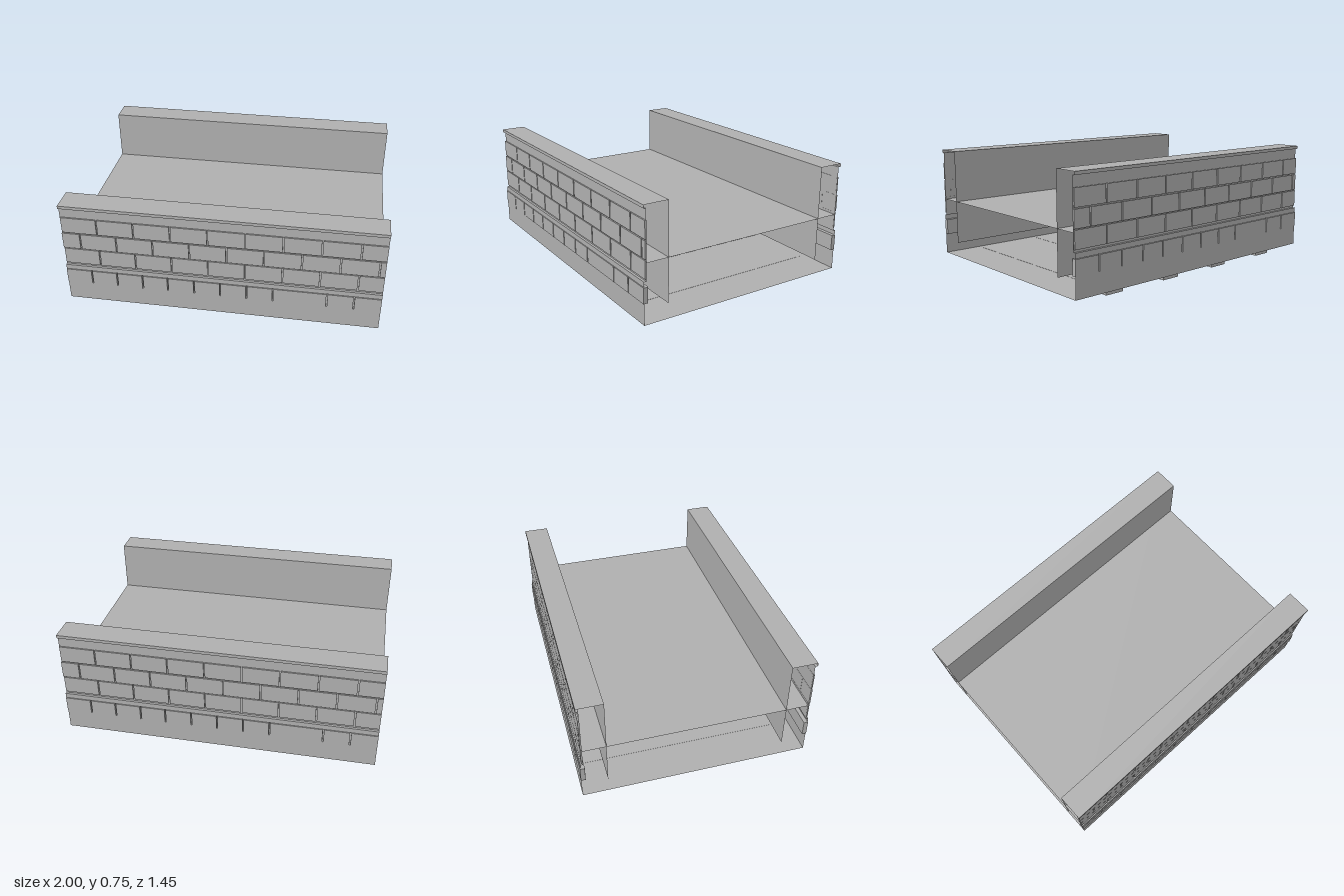
import * as THREE from 'three';

const stone = new THREE.MeshStandardMaterial({ color: 0xb2b2b2, side: THREE.DoubleSide });
stone.name = 'grey stone';

function addBox(parent, name, x0, x1, y0, y1, z0, z1) {
  const mesh = new THREE.Mesh(new THREE.BoxGeometry(x1 - x0, y1 - y0, z1 - z0), stone);
  mesh.position.set((x0 + x1) / 2, (y0 + y1) / 2, (z0 + z1) / 2);
  mesh.name = name;
  parent.add(mesh);
}

// Open sheet: a [z, y] profile swept from x = -1 to x = 1
function addSheet(parent, name, profile) {
  const pos = [];
  for (let i = 0; i < profile.length - 1; i++) {
    const [za, ya] = profile[i], [zb, yb] = profile[i + 1];
    const a = [-1, ya, za], b = [1, ya, za], c = [1, yb, zb], d = [-1, yb, zb];
    pos.push(...a, ...b, ...c, ...a, ...c, ...d);
  }
  const geo = new THREE.BufferGeometry();
  geo.setAttribute('position', new THREE.Float32BufferAttribute(pos, 3));
  geo.computeVertexNormals();
  const mesh = new THREE.Mesh(geo, stone);
  mesh.name = name;
  parent.add(mesh);
}

function makeParapet() {
  const side = new THREE.Group();
  side.name = 'parapet';

  // Skirt, recess for the lower course, ledge, wall face, coping and inner wall
  addSheet(side, 'parapetWall', [
    [0.72, 0.035], [0.72, 0.168], [0.695, 0.168], [0.695, 0.268], [0.72, 0.268], [0.72, 0.3],
    [0.705, 0.3], [0.705, 0.725], [0.722, 0.725], [0.722, 0.745], [0.56, 0.745], [0.56, 0.13],
  ]);

  // Lower course of thick blocks, one of them double length
  const joints = [-1, -0.833, -0.667, -0.5, -0.337, -0.167, 0, 0.167, 0.333, 0.667, 0.833, 1];
  for (let i = 0; i < joints.length - 1; i++) {
    const x0 = i === 0 ? -1 : joints[i] + 0.004;
    const x1 = i === joints.length - 2 ? 1 : joints[i + 1] - 0.004;
    addBox(side, 'lowerBlock', x0, x1, 0.168, 0.266, 0.696, 0.724);
  }
  addBox(side, 'blockBacking', -0.58, -0.42, 0.19, 0.224, 0.68, 0.7);

  // Three courses of thin bricks in running bond
  const length = 0.231, gap = 0.004;
  [[0.315, 0.425], [0.431, 0.54], [0.548, 0.656]].forEach(([y0, y1], row) => {
    for (let x = -1 - (row % 2 ? 0.115 : 0); x < 0.99; x += length) {
      const x0 = Math.max(-1, x + gap), x1 = Math.min(1, x + length - gap);
      addBox(side, 'wallBrick', x0, x1, y0, y1, 0.704, 0.714);
    }
  });
  addBox(side, 'innerBrick', -0.115, 0.115, 0.585, 0.7, 0.562, 0.569);
  return side;
}

export function createModel() {
  const model = new THREE.Group();
  model.name = 'bridgeSection';

  // Roadway and underside
  addSheet(model, 'deck', [[0.705, 0.41], [-0.705, 0.41]]);
  addSheet(model, 'underside', [[-0.72, 0.035], [0.72, 0.035]]);

  // Matching parapets on both sides
  const front = makeParapet(), back = makeParapet();
  back.rotation.y = Math.PI;
  model.add(front, back);

  // Cross beams below
  for (const x of [-0.685, -0.225, 0.22, 0.68]) {
    addBox(model, 'crossBeam', x - 0.065, x + 0.065, 0, 0.036, -0.677, 0.677);
  }
  return model;
}
